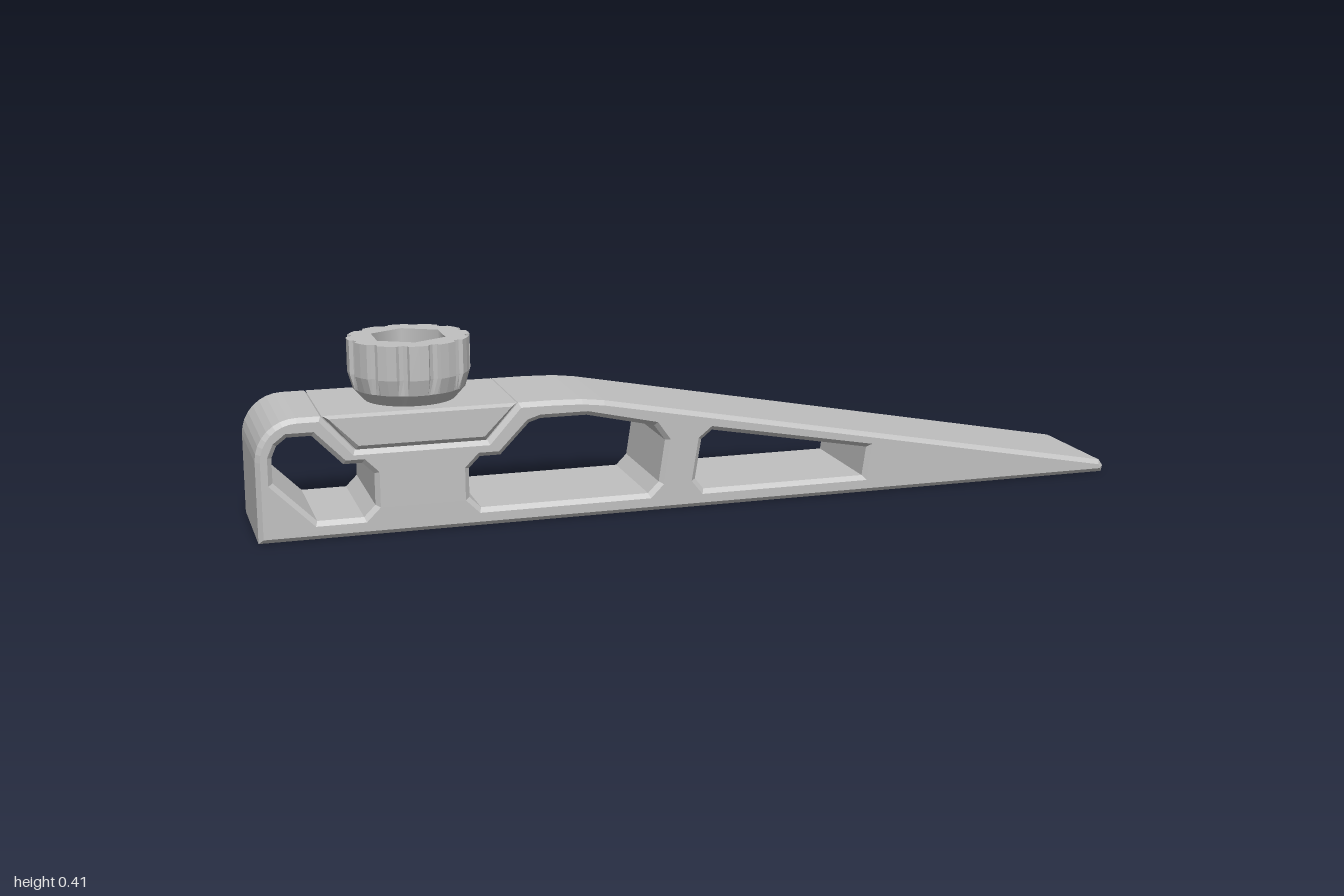
import * as THREE from 'three';

const KNOB_X = -0.646, HALF_Z = 0.142, BEVEL = 0.01;
const BORE_R = 0.053, HEX_R = 0.086;
const vecs = pts => pts.map(([x, y]) => new THREE.Vector2(x, y));

// Regular polygon outline with a corner on the z axis
function ring(n, r, cx = 0) {
  return Array.from({ length: n }, (_, i) => {
    const a = Math.PI / 2 + (i / n) * Math.PI * 2;
    return [cx + r * Math.cos(a), r * Math.sin(a)];
  });
}

// Side profile extruded across z with chamfered edges, leaving out flat walls
// at the given heights so that drilled plates can take their place
function extrudeProfile(outline, holes, openLevels) {
  const shape = new THREE.Shape(vecs(outline));
  holes.forEach(h => shape.holes.push(new THREE.Path(vecs(h))));
  const depth = 2 * (HALF_Z - BEVEL);
  const src = new THREE.ExtrudeGeometry(shape, {
    depth, bevelEnabled: true, bevelSegments: 1,
    bevelSize: BEVEL, bevelThickness: BEVEL, bevelOffset: -BEVEL,
  }).translate(0, 0, -depth / 2);
  const p = src.attributes.position, kept = [];
  for (let i = 0; i < p.count; i += 3) {
    const flat = openLevels.some(l => [0, 1, 2].every(k => Math.abs(p.getY(i + k) - l) < 1e-4));
    if (flat) continue;
    for (let k = 0; k < 3; k++) kept.push(p.getX(i + k), p.getY(i + k), p.getZ(i + k));
  }
  const geo = new THREE.BufferGeometry();
  geo.setAttribute('position', new THREE.Float32BufferAttribute(kept, 3));
  geo.computeVertexNormals();
  return geo;
}

// Horizontal plate with one hole, facing up or down
function plate(outline, hole, y, up = true) {
  const shape = new THREE.Shape(vecs(outline));
  shape.holes.push(new THREE.Path(vecs(hole)));
  return new THREE.ShapeGeometry(shape).rotateX(up ? -Math.PI / 2 : Math.PI / 2).translate(0, y, 0);
}

const strip = (x0, x1) => {
  const z = HALF_Z - BEVEL;
  return [[x0, -z], [x1, -z], [x1, z], [x0, z]];
};

// Open vertical tube, used as the wall of a hole
const tube = (r, n, y0, y1) =>
  new THREE.CylinderGeometry(r, r, y1 - y0, n, 1, true).translate(KNOB_X, (y0 + y1) / 2, 0);

// Fluted outline of the knob: twelve wide ridges with narrow grooves between
function flutedRing(ridge, groove) {
  const pts = [], mid = ridge - (ridge - groove) * 0.7;
  for (let i = 0; i < 12; i++) {
    const rows = [[0, ridge], [9, ridge], [11, mid], [15, groove], [19, mid], [21, ridge]];
    for (const [deg, r] of rows) {
      const a = THREE.MathUtils.degToRad(i * 30 + deg);
      pts.push([r * Math.cos(a), r * Math.sin(a)]);
    }
  }
  return pts;
}

// Skin through stacked rings of equal point count
function loft(levels) {
  const pos = [], n = levels[0].pts.length;
  const put = (l, i) => pos.push(l.pts[i % n][0], l.y, -l.pts[i % n][1]);
  for (let k = 0; k + 1 < levels.length; k++) {
    const a = levels[k], b = levels[k + 1];
    for (let i = 0; i < n; i++) {
      put(a, i); put(a, i + 1); put(b, i + 1);
      put(a, i); put(b, i + 1); put(b, i);
    }
  }
  const geo = new THREE.BufferGeometry();
  geo.setAttribute('position', new THREE.Float32BufferAttribute(pos, 3));
  geo.computeVertexNormals();
  return geo;
}

export function createModel() {
  const model = new THREE.Group();
  model.name = 'wedgeClamp';
  const grey = new THREE.MeshStandardMaterial({ color: 0xc0c0c0, side: THREE.DoubleSide });
  grey.name = 'lightGrey';
  const add = (parent, name, geo) => {
    const mesh = new THREE.Mesh(geo, grey);
    mesh.name = name;
    parent.add(mesh);
  };
  const part = name => {
    const g = new THREE.Group();
    g.name = name;
    model.add(g);
    return g;
  };

  // Wedge body: rounded heel, dovetail slot, long slope down to the tip
  const heel = [];
  for (let i = 0; i <= 8; i++) {
    const a = Math.PI / 2 + (i / 8) * Math.PI / 2;
    heel.push([-0.91 + 0.09 * Math.cos(a), 0.178 + 0.09 * Math.sin(a)]);
  }
  const outline = [
    [-1, 0], [0.996, 0], [1, 0.014], [0.99, 0.029],
    [-0.24, 0.26], [-0.29, 0.266], [-0.36, 0.268],
    [-0.433, 0.268], [-0.503, 0.19], [-0.79, 0.19], [-0.86, 0.268], ...heel,
  ];
  const windows = [
    [[-0.965, 0.13], [-0.965, 0.185], [-0.954, 0.21], [-0.932, 0.227], [-0.88, 0.227], [-0.815, 0.16],
      [-0.775, 0.16], [-0.75, 0.135], [-0.75, 0.065], [-0.775, 0.04], [-0.875, 0.04]],
    [[-0.545, 0.13], [-0.52, 0.155], [-0.475, 0.155], [-0.41, 0.222], [-0.385, 0.23], [-0.28, 0.23],
      [-0.125, 0.195], [-0.1, 0.16], [-0.115, 0.065], [-0.14, 0.04], [-0.52, 0.04], [-0.545, 0.065]],
    [[-0.03, 0.065], [-0.015, 0.155], [0.01, 0.175], [0.385, 0.107], [0.375, 0.04], [-0.01, 0.04]],
  ];
  const bore = ring(32, BORE_R, KNOB_X), hex = ring(6, HEX_R, KNOB_X);
  const body = part('wedgeBody');
  add(body, 'bodyShell', extrudeProfile(outline, windows, [0, 0.19]));
  add(body, 'baseFace', plate(strip(-1, 0.996), hex, 0, false));
  add(body, 'slotFloor', plate(strip(-0.79, -0.503), bore, 0.19));
  add(body, 'nutPocketWall', tube(HEX_R, 6, 0, 0.1));
  add(body, 'nutPocketEnd', plate(hex, bore, 0.1, false));

  // Sliding dovetail insert resting on the slot floor
  const insert = part('dovetailInsert');
  add(insert, 'insertShell', extrudeProfile(
    [[-0.857, 0.268], [-0.787, 0.19], [-0.506, 0.19], [-0.436, 0.268]], [], [0.19, 0.268]));
  add(insert, 'insertTop', plate(strip(-0.857, -0.436), bore, 0.268));

  // Fluted knob with a hexagonal socket
  const knob = part('knob');
  const flutes = flutedRing(0.134, 0.123);
  add(knob, 'knobSide', loft([
    { y: 0.268, pts: flutedRing(0.1, 0.1) },
    { y: 0.295, pts: flutedRing(0.124, 0.122) },
    { y: 0.33, pts: flutes },
    { y: 0.405, pts: flutes },
  ]).translate(KNOB_X, 0, 0));
  add(knob, 'knobTop', plate(flutes, ring(6, HEX_R), 0.405).translate(KNOB_X, 0, 0));
  add(knob, 'socketWall', tube(HEX_R, 6, 0.31, 0.405));
  add(knob, 'socketFloor', plate(hex, bore, 0.31));

  // Round bore running through knob, insert and body
  add(model, 'boltBore', tube(BORE_R, 32, 0.1, 0.31));
  return model;
}
